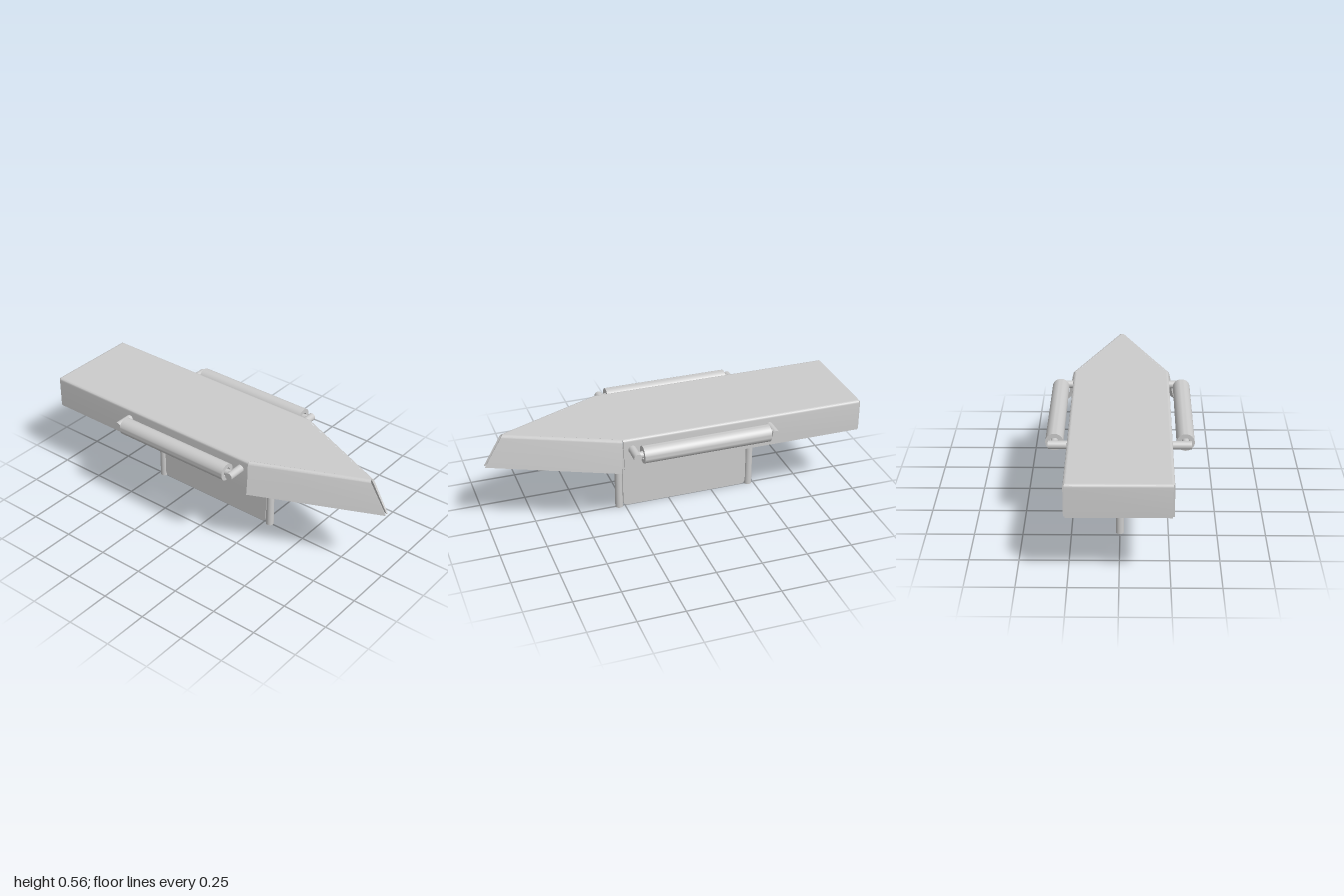
import * as THREE from 'three';
import { toCreasedNormals } from 'three/addons/utils/BufferGeometryUtils.js';

const TOP = 0.56, SHEET = 0.008, BEND = 0.015;
const material = new THREE.MeshStandardMaterial({ color: 0xcccccc });

function add(parent, name, geometry, x = 0, y = 0, z = 0) {
  const mesh = new THREE.Mesh(geometry, material);
  mesh.name = name;
  mesh.position.set(x, y, z);
  parent.add(mesh);
  return mesh;
}

// Folded sheet wall: rounded bend from the deck, then straight down to the lip.
// Each end is { c: [x, z] at the top corner, b: [x, z] at the lip }; n points outward.
function flange(a, b, n, bottom) {
  const section = (end, t) => {
    const r = BEND;
    const corner = new THREE.Vector3(end.c[0] - n[0] * t, TOP - t, end.c[1] - n[1] * t);
    const start = new THREE.Vector3(end.c[0] - n[0] * r, TOP - t, end.c[1] - n[1] * r);
    const lip = new THREE.Vector3(end.b[0] - n[0] * t, bottom, end.b[1] - n[1] * t);
    const down = lip.clone().sub(corner).normalize().multiplyScalar(r - t * 0.5).add(corner);
    return [...new THREE.QuadraticBezierCurve3(start, corner, down).getPoints(5), lip];
  };
  const oa = section(a, 0), ia = section(a, SHEET), ob = section(b, 0), ib = section(b, SHEET);
  const pos = [];
  const quad = (p, q, r, s) => [p, q, r, p, r, s].forEach((v) => pos.push(v.x, v.y, v.z));
  const last = oa.length - 1;
  for (let i = 0; i < last; i++) {
    quad(oa[i], oa[i + 1], ob[i + 1], ob[i]);
    quad(ia[i], ib[i], ib[i + 1], ia[i + 1]);
    quad(oa[i], ia[i], ia[i + 1], oa[i + 1]);
    quad(ob[i], ob[i + 1], ib[i + 1], ib[i]);
  }
  quad(oa[last], ia[last], ib[last], ob[last]);
  const geometry = new THREE.BufferGeometry();
  geometry.setAttribute('position', new THREE.Float32BufferAttribute(pos, 3));
  return toCreasedNormals(geometry, 0.5);
}

function rod(radius, length, axis) {
  const geometry = new THREE.CylinderGeometry(radius, radius, length, 32);
  if (axis === 'x') geometry.rotateZ(Math.PI / 2);
  if (axis === 'z') geometry.rotateX(Math.PI / 2);
  return geometry;
}

function hollowRoller(outer, inner, length) {
  const h = length / 2;
  const profile = [[inner, -h], [outer, -h], [outer, h], [inner, h], [inner, -h]]
    .map(([x, y]) => new THREE.Vector2(x, y));
  const geometry = new THREE.LatheGeometry(profile, 40).rotateZ(Math.PI / 2);
  return toCreasedNormals(geometry, 0.5);
}

function roundedPlate(width, height, radius, depth) {
  const w = width / 2, h = height / 2, r = radius;
  const shape = new THREE.Shape();
  shape.absarc(w - r, h - r, r, 0, Math.PI / 2);
  shape.absarc(-w + r, h - r, r, Math.PI / 2, Math.PI);
  shape.absarc(-w + r, -h + r, r, Math.PI, Math.PI * 1.5);
  shape.absarc(w - r, -h + r, r, Math.PI * 1.5, Math.PI * 2);
  return new THREE.ExtrudeGeometry(shape, { depth, bevelEnabled: false, curveSegments: 8 })
    .translate(0, 0, -depth / 2);
}

export function createModel() {
  const model = new THREE.Group();
  model.name = 'arrowHull';

  // Folded hull, open underneath
  const hull = new THREE.Group();
  hull.name = 'hull';
  model.add(hull);
  const half = 0.262, edge = half - BEND;
  const outline = [[-1 + BEND, edge], [0.33, edge], [0.894, 0], [0.33, -edge], [-1 + BEND, -edge]];
  const deck = new THREE.ExtrudeGeometry(
    new THREE.Shape(outline.map(([x, z]) => new THREE.Vector2(x, z))),
    { depth: SHEET, bevelEnabled: false }).rotateX(Math.PI / 2);
  add(hull, 'deck', deck, 0, TOP, 0);

  const rearEnd = (z) => ({ c: [-1, z], b: [-1, z] });
  add(hull, 'rearWall', flange(rearEnd(-0.254), rearEnd(0.254), [-1, 0], 0.386));

  for (const s of [1, -1]) {
    const side = s > 0 ? 'Left' : 'Right';
    const build = (a, b, n, bottom) => (s > 0 ? flange(a, b, n, bottom) : flange(b, a, n, bottom));

    const back = { c: [-0.99, s * half], b: [-0.99, s * half] };
    const front = { c: [0.33, s * half], b: [0.325, s * half] };
    add(hull, 'sideWall' + side, build(back, front, [0, s], 0.386));

    // Nose walls lean outward toward the lip
    const noseBack = { c: [0.335, s * half], b: [0.35, s * 0.30] };
    const noseTip = { c: [0.9, s * 0.0137], b: [1, s * 0.012] };
    add(hull, 'noseWall' + side, build(noseBack, noseTip, [0.407, s * 0.913], 0.39));

    // Side rollers on their axles
    add(model, 'roller' + side, hollowRoller(0.046, 0.024, 0.69), -0.095, 0.503, s * 0.33);
    add(model, 'rollerAxle' + side, rod(0.018, 0.75, 'x'), -0.095, 0.503, s * 0.33);
  }

  // Cross bars and the posts hanging from them
  for (const [x, end] of [[-0.47, 'Rear'], [0.283, 'Front']]) {
    add(model, 'crossBar' + end, rod(0.021, 0.72, 'z'), x, 0.503, 0);
    add(model, 'post' + end, rod(0.021, 0.503, 'y'), x, 0.2515, 0);
  }

  // Plate between the posts
  add(model, 'keelPlate', roundedPlate(0.71, 0.37, 0.025, 0.02), -0.094, 0.19, 0);
  return model;
}
